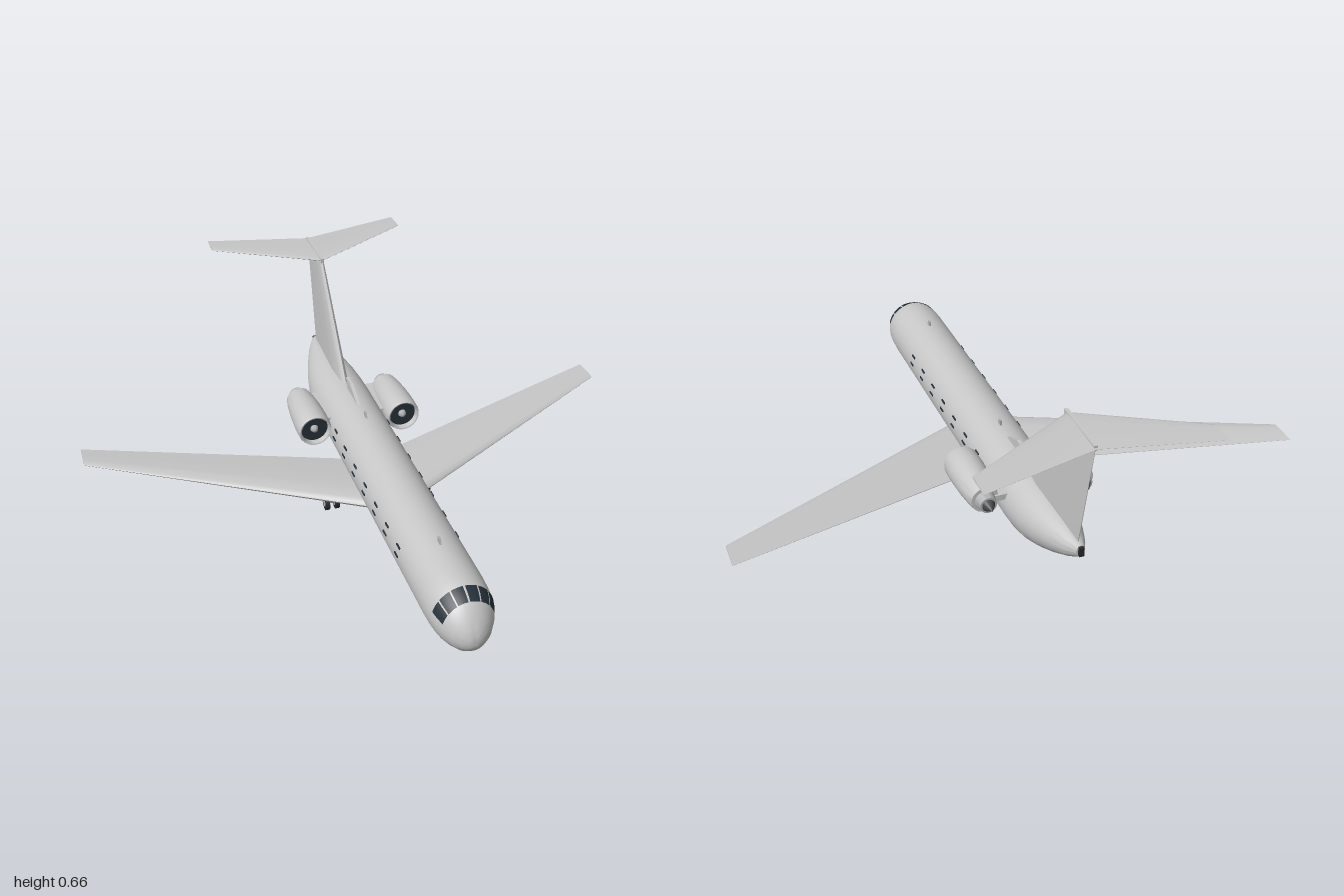
import * as THREE from 'three';
import { toCreasedNormals } from 'three/addons/utils/BufferGeometryUtils.js';

const mat = (name, color, side = THREE.FrontSide) => {
  const m = new THREE.MeshStandardMaterial({ color, side });
  m.name = name;
  return m;
};

// Closed solid through equal-length rings of [x, y, z] points
function loft(rings, crease = 0.7) {
  const n = rings[0].length, pos = rings.flat(2), idx = [];
  rings.slice(1).forEach((_, i) => {
    for (let j = 0; j < n; j++) {
      const k = (j + 1) % n, a = i * n + j, b = i * n + k;
      idx.push(a, b, b + n, a, b + n, a + n);
    }
  });
  [0, rings.length - 1].forEach((r) => {
    const c = pos.length / 3;
    pos.push(...[0, 1, 2].map((d) => rings[r].reduce((s, p) => s + p[d], 0) / n));
    for (let j = 0; j < n; j++) {
      const a = r * n + j, b = r * n + ((j + 1) % n);
      idx.push(c, ...(r === 0 ? [b, a] : [a, b]));
    }
  });
  // Turn the faces outward when the signed volume is negative
  const v = (i) => new THREE.Vector3().fromArray(pos, i * 3);
  let volume = 0;
  for (let i = 0; i < idx.length; i += 3) volume += v(idx[i]).dot(v(idx[i + 1]).cross(v(idx[i + 2])));
  if (volume < 0) idx.reverse();
  const g = new THREE.BufferGeometry();
  g.setAttribute('position', new THREE.Float32BufferAttribute(pos, 3));
  g.setIndex(idx);
  return toCreasedNormals(g, crease);
}

// Fuselage stations: z, half width, top, bottom
const BODY = [
  [0.97, 0.004, 0.139, 0.131], [0.966, 0.022, 0.16, 0.113], [0.955, 0.043, 0.184, 0.097],
  [0.935, 0.065, 0.214, 0.08], [0.905, 0.085, 0.246, 0.068], [0.88, 0.095, 0.26, 0.062],
  [0.855, 0.101, 0.269, 0.059], [0.82, 0.105, 0.275, 0.057], [0.77, 0.107, 0.277, 0.056],
  [-0.41, 0.107, 0.277, 0.056], [-0.48, 0.105, 0.275, 0.06], [-0.55, 0.098, 0.272, 0.075],
  [-0.62, 0.084, 0.268, 0.1], [-0.69, 0.064, 0.262, 0.132], [-0.76, 0.039, 0.254, 0.17],
  [-0.81, 0.014, 0.247, 0.205],
];
// Point on a fuselage station, angle measured from the top
const skin = ([z, w, top, bottom], a, out = 0) => [
  Math.sin(a) * (w + out),
  (top + bottom) / 2 + Math.cos(a) * ((top - bottom) / 2 + out), z,
];

// Airfoil outline: chord fraction, thickness fraction
const FOIL = [[0, 0], [0.02, 0.22], [0.08, 0.4], [0.3, 0.5], [0.65, 0.32], [1, 0.03],
  [1, -0.03], [0.65, -0.32], [0.3, -0.5], [0.08, -0.4], [0.02, -0.22]];
// Horizontal surface from stations: x, y, leading z, trailing z, thickness
const planform = (stations) => loft(stations.map(([x, y, le, te, t]) =>
  FOIL.map(([c, h]) => [x, y + h * t, le + (te - le) * c])));
const mirrored = (s) => [...s.slice(1).reverse().map(([x, ...r]) => [-x, ...r]), ...s];

// Thin vertical blade from a side outline of [z, y]
function blade(points, width) {
  const shape = new THREE.Shape(points.map(([z, y]) => new THREE.Vector2(-z, y)));
  const g = new THREE.ExtrudeGeometry(shape, { depth: width, bevelEnabled: false });
  return g.translate(0, 0, -width / 2).rotateY(Math.PI / 2);
}

// Round part along z from [radius, z], listed from back to front
const turned = (points, seg = 32) => toCreasedNormals(
  new THREE.LatheGeometry(points.map((p) => new THREE.Vector2(...p)), seg).rotateX(Math.PI / 2), 0.6);

export function createModel() {
  const model = new THREE.Group();
  const paint = mat('light grey paint', 0xc6c6c6);
  const metal = mat('pale metal', 0xb0b2b4);
  const glass = mat('dark glass', 0x26313a, THREE.DoubleSide);
  const rubber = mat('dark rubber', 0x2a2a2c);
  const exhaust = mat('exhaust grey', 0x48484a);
  const add = (name, geo, material, parent = model) => {
    const m = new THREE.Mesh(geo, material);
    m.name = name;
    parent.add(m);
    return m;
  };

  // Fuselage
  const rings = BODY.map((s) => Array.from({ length: 40 }, (_, j) => skin(s, (j / 40) * Math.PI * 2)));
  add('fuselage', loft(rings, 0.9), paint);
  add('tailTip', new THREE.BoxGeometry(0.016, 0.032, 0.018).translate(0, 0.228, -0.812), rubber);

  // Wings, tailplane and fin
  add('wings', planform(mirrored([[0, 0.1, 0.22, -0.105, 0.046], [0.1, 0.106, 0.167, -0.137, 0.04],
    [1, 0.155, -0.308, -0.415, 0.01]])), paint);
  add('tailplane', planform(mirrored([[0, 0.647, -0.672, -0.885, 0.014],
    [0.378, 0.647, -0.887, -0.977, 0.006]])), paint);
  const finStations = [[0.2, -0.32, -0.78, 0.04], [0.275, -0.372, -0.797, 0.038], [0.645, -0.665, -0.876, 0.02]];
  add('fin', loft(finStations.map(([y, le, te, t]) =>
    FOIL.map(([c, h]) => [h * t, y, le + (te - le) * c]))), paint);
  add('finCap', blade([[-0.665, 0.638], [-0.665, 0.657], [-0.878, 0.655], [-0.878, 0.638]], 0.012), paint);

  // Cockpit windows wrapped around the nose
  const panes = new THREE.Group();
  panes.name = 'cockpitWindows';
  model.add(panes);
  const rows = BODY.slice(4, 7);
  for (const side of [-1, 1]) for (let p = 0; p < 3; p++) {
    const pos = [], idx = [], n = 6;
    rows.forEach((s, r) => {
      for (let j = 0; j <= n; j++) {
        const a = THREE.MathUtils.degToRad(2 + p * 25 + (j / n) * 22);
        pos.push(...skin(s, a * side, 0.002));
        if (r && j) {
          const b = r * (n + 1) + j, c = b - n - 1;
          idx.push(...(side > 0 ? [c - 1, b, b - 1, c - 1, c, b] : [c - 1, b - 1, b, c - 1, b, c]));
        }
      }
    });
    const g = new THREE.BufferGeometry();
    g.setAttribute('position', new THREE.Float32BufferAttribute(pos, 3));
    // Wind outward so the normals face away from the nose
    g.setIndex(idx.reverse());
    g.computeVertexNormals();
    add('cockpitPane', g, glass, panes);
  }

  // Cabin window strips, two rows on each side
  const strips = new THREE.Group();
  strips.name = 'cabinWindows';
  model.add(strips);
  for (const side of [-1, 1]) for (const y of [0.207, 0.176]) for (let i = 0; i < 7; i++) {
    const x = 0.107 * Math.sqrt(1 - ((y - 0.1665) / 0.1105) ** 2);
    add('cabinWindow', new THREE.BoxGeometry(0.006, 0.006, 0.03)
      .translate(side * x, y, 0.54 - i * 0.118), glass, strips);
  }

  // Aerials and the air scoop
  for (const z of [0.645, -0.125])
    add('topAerial', blade([[z + 0.014, 0.272], [z + 0.002, 0.296], [z - 0.012, 0.296], [z - 0.012, 0.272]], 0.006), metal);
  add('bellyAerial', blade([[0.268, 0.06], [0.245, 0.038], [0.238, 0.042], [0.238, 0.06]], 0.006), metal);
  add('airScoop', blade([[-0.2, 0.272], [-0.298, 0.316], [-0.35, 0.316], [-0.338, 0.272]], 0.012), paint);

  // Engines on pylons
  for (const side of [-1, 1]) {
    const engine = new THREE.Group();
    engine.name = side > 0 ? 'leftEngine' : 'rightEngine';
    engine.position.set(side * 0.17, 0.205, 0);
    model.add(engine);
    add('nacelle', turned([[0, -0.432], [0.047, -0.432], [0.053, -0.4], [0.06, -0.33], [0.063, -0.26],
      [0.062, -0.205], [0.058, -0.192], [0.053, -0.194], [0.051, -0.205], [0.05, -0.235]]), paint);
    add('nozzle', turned([[0, -0.466], [0.029, -0.466], [0.035, -0.43]]), metal);
    add('exhaustCone', turned([[0, -0.502], [0.025, -0.462], [0.027, -0.455]]), exhaust);
    add('fan', new THREE.CircleGeometry(0.051, 32).translate(0, 0, -0.215), glass);
    add('spinner', turned([[0.015, -0.215], [0.011, -0.203], [0, -0.196]], 20), metal);
    add('pylon', new THREE.BoxGeometry(0.09, 0.022, 0.19).translate(-side * 0.075, 0, -0.345), paint, engine);
    for (const name of ['nacelle', 'nozzle', 'exhaustCone', 'fan', 'spinner'])
      engine.add(model.children.find((c) => c.name === name));
  }

  // Landing gear with twin wheels
  const gear = (name, x, z, r, gap, top) => {
    const g = new THREE.Group();
    g.name = name;
    g.position.set(x, 0, z);
    model.add(g);
    add('strut', new THREE.CylinderGeometry(0.006, 0.006, top - r, 12).translate(0, (top + r) / 2, 0), metal, g);
    const across = (radius, length) => new THREE.CylinderGeometry(radius, radius, length, 24).rotateZ(Math.PI / 2);
    add('axle', across(0.005, gap * 2).translate(0, r, 0), metal, g);
    for (const s of [-1, 1]) {
      add('tyre', across(r, 0.014).translate(s * gap, r, 0), rubber, g);
      add('hub', across(r * 0.5, 0.017).translate(s * gap, r, 0), metal, g);
    }
  };
  gear('noseGear', 0, 0.725, 0.023, 0.012, 0.075);
  for (const side of [-1, 1]) {
    gear('mainGear', side * 0.173, 0.006, 0.027, 0.018, 0.105);
    add('gearDoor', new THREE.BoxGeometry(0.004, 0.03, 0.045).translate(side * 0.208, 0.084, 0.006), paint);
  }
  return model;
}
